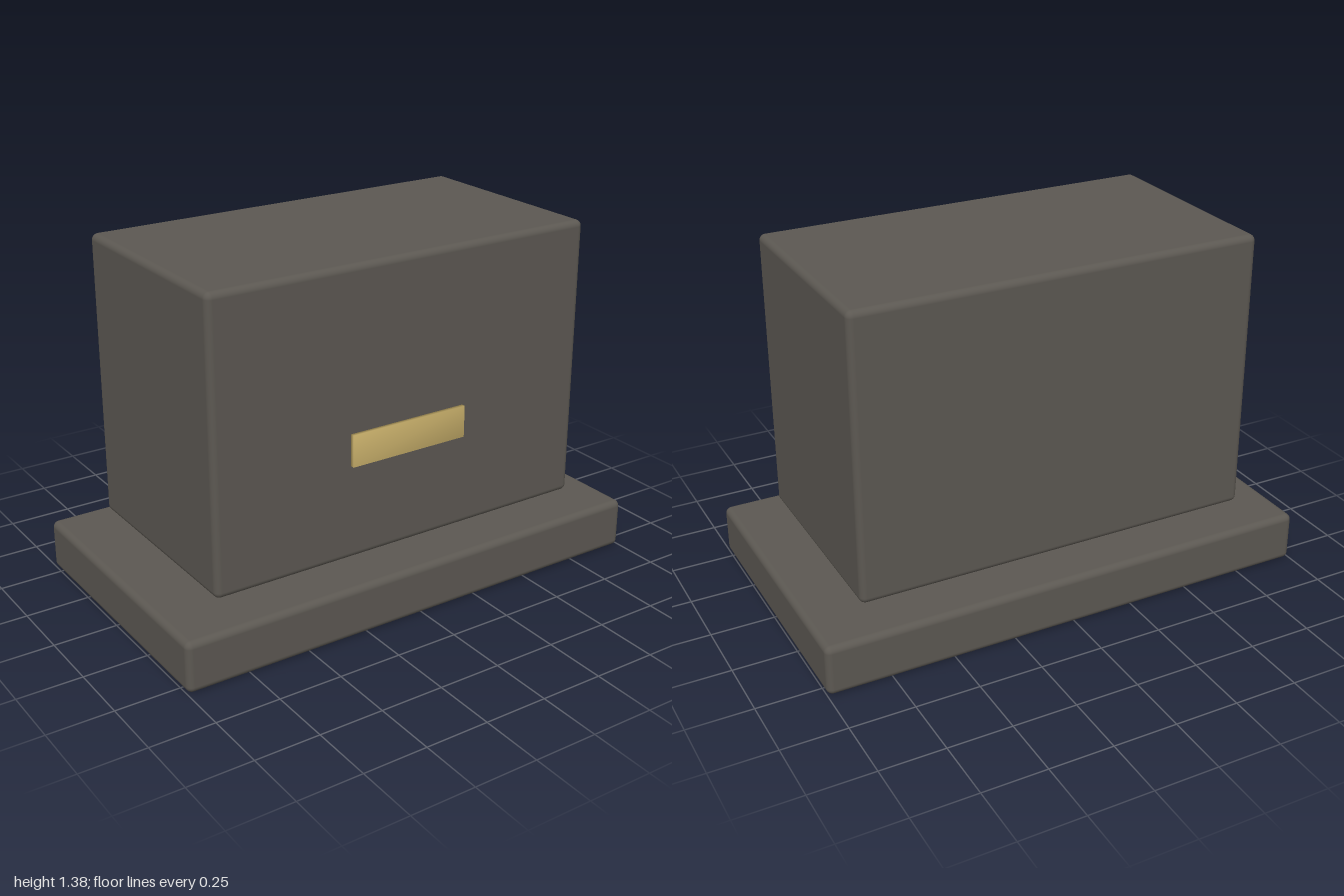
import * as THREE from 'three';
import { RoundedBoxGeometry } from 'three/addons/geometries/RoundedBoxGeometry.js';
import { mergeVertices } from 'three/addons/utils/BufferGeometryUtils.js';

export function createModel() {
  const model = new THREE.Group();
  const stone = new THREE.MeshStandardMaterial({ color: 0x5c5852 });
  stone.name = 'dark stone';
  const brass = new THREE.MeshStandardMaterial({ color: 0xc9b06b });
  brass.name = 'brass';

  const add = (name, geometry, material, y, z = 0) => {
    const mesh = new THREE.Mesh(geometry, material);
    mesh.name = name;
    mesh.position.set(0, y, z);
    model.add(mesh);
  };

  // Plinth and the block hovering just above it, both with softened edges
  add('base', new RoundedBoxGeometry(2, 0.2, 1.125, 4, 0.025), stone, 0.1);
  add('block', new RoundedBoxGeometry(1.625, 1.125, 0.875, 4, 0.025), stone, 0.8125);

  // Name plate: a thin box with shared corners, so its shading is soft
  const plate = new THREE.BoxGeometry(0.5, 0.125, 0.016);
  plate.deleteAttribute('normal');
  plate.deleteAttribute('uv');
  const softPlate = mergeVertices(plate);
  softPlate.computeVertexNormals();
  add('plate', softPlate, brass, 0.69, 0.451);

  return model;
}
